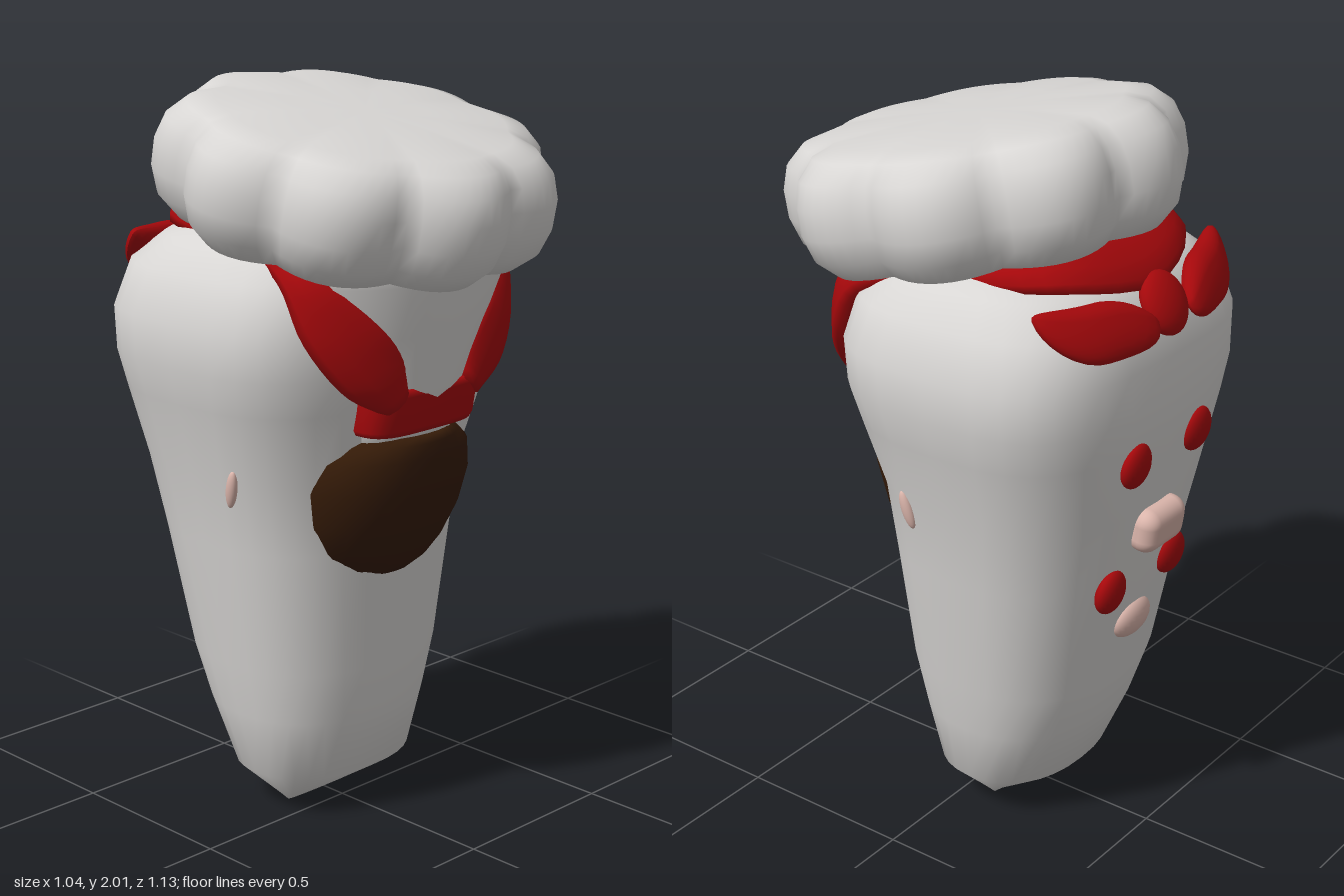
import * as THREE from 'three';
import { RoundedBoxGeometry } from 'three/addons/geometries/RoundedBoxGeometry.js';

const V = (x, y, z) => new THREE.Vector3(x, y, z);
const material = (name, color) => {
  const m = new THREE.MeshStandardMaterial({ color });
  m.name = name;
  return m;
};

// Smooth closed skin over a list of equal-sized rings, capped at both ends
function loft(rings) {
  const n = rings[0].length, pts = rings.flat(), idx = [];
  for (let i = 0; i < rings.length - 1; i++) {
    for (let j = 0; j < n; j++) {
      const a = i * n + j, b = i * n + (j + 1) % n;
      idx.push(a, b, a + n, b, b + n, a + n);
    }
  }
  [0, rings.length - 1].forEach((r, end) => {
    const c = pts.length;
    pts.push(rings[r].reduce((s, p) => s.add(p), V(0, 0, 0)).divideScalar(n));
    for (let j = 0; j < n; j++) {
      const a = r * n + j, b = r * n + (j + 1) % n;
      end ? idx.push(a, b, c) : idx.push(b, a, c);
    }
  });
  // A negative volume means the faces point inward
  let volume = 0;
  const cross = V(0, 0, 0);
  for (let i = 0; i < idx.length; i += 3) {
    volume += cross.crossVectors(pts[idx[i]], pts[idx[i + 1]]).dot(pts[idx[i + 2]]);
  }
  if (volume < 0) idx.reverse();
  const g = new THREE.BufferGeometry().setFromPoints(pts);
  g.setIndex(idx);
  g.computeVertexNormals();
  return g;
}

// Level rounded cross-sections: [y, half width, front z, back z, squareness]
function sections(rows, n = 32) {
  const soft = (v, power) => Math.sign(v) * Math.abs(v) ** (2 / power);
  return loft(rows.map(([y, hx, zf, zb, power]) => Array.from({ length: n }, (_, j) => {
    const a = (j / n) * Math.PI * 2;
    return V(hx * soft(Math.cos(a), power), y, (zf + zb) / 2 + ((zf - zb) / 2) * soft(Math.sin(a), power));
  })));
}

// Padded band between an inner and an outer edge curve
function band(inner, outer, thickness, steps = 64, n = 10) {
  const a = new THREE.CatmullRomCurve3(inner), b = new THREE.CatmullRomCurve3(outer);
  const mid = (t) => a.getPoint(t).lerp(b.getPoint(t), 0.5);
  const rings = [];
  for (let i = 0; i <= steps; i++) {
    const t = i / steps;
    const half = b.getPoint(t).sub(a.getPoint(t)).multiplyScalar(0.5);
    const along = mid(Math.min(1, t + 0.01)).sub(mid(Math.max(0, t - 0.01)));
    const up = along.cross(half).normalize();
    rings.push(Array.from({ length: n }, (_, j) => {
      const q = (j / n) * Math.PI * 2;
      return mid(t).addScaledVector(half, Math.cos(q)).addScaledVector(up, thickness * Math.sin(q));
    }));
  }
  return loft(rings);
}

// Puffy cushion with nine scalloped lobes around its rim
function scallopedCap() {
  const profile = [[0.2, -0.15, 0], [0.36, -0.165, 0.3], [0.43, -0.155, 0.7], [0.475, -0.105, 0.95],
    [0.495, -0.04, 1], [0.495, 0.03, 1], [0.478, 0.09, 0.9], [0.44, 0.135, 0.6], [0.38, 0.155, 0.25], [0.2, 0.165, 0]];
  const n = 90;
  return loft(profile.map(([r, y, w]) => Array.from({ length: n }, (_, j) => {
    const a = (j / n) * Math.PI * 2;
    const lobe = Math.abs(Math.sin(4.5 * a)) - 0.35;
    const rr = r + 0.056 * w * lobe;
    return V(rr * Math.cos(a), y * (1 + 0.08 * w * lobe), rr * Math.sin(a));
  })));
}

// Bow wing: flat upper edge, full lower edge, tip swept upward
function bowWing(side) {
  const g = new THREE.SphereGeometry(1, 24, 16);
  const p = g.attributes.position;
  for (let i = 0; i < p.count; i++) {
    const y = p.getY(i), out = p.getX(i) * side;
    p.setY(i, (y > 0 ? y * 0.45 : y) + 0.45 * out * Math.abs(out));
  }
  g.computeVertexNormals();
  return g;
}

export function createModel() {
  const model = new THREE.Group();
  const white = material('soft white', 0xd8d6d4);
  const red = material('scarf red', 0xa5080b);
  const brown = material('dark brown', 0x351b08);
  const pink = material('pale pink', 0xdcb6ac);

  const centre = 0.007;
  const add = (name, geometry, mat, pos = [0, 0, 0], rot = [0, 0, 0], scale = [1, 1, 1]) => {
    const m = new THREE.Mesh(geometry, mat);
    m.name = name;
    m.position.set(pos[0] + centre, pos[1], pos[2]);
    m.rotation.set(...rot, 'YXZ');
    m.scale.set(...scale);
    model.add(m);
  };
  const ball = new THREE.SphereGeometry(1, 24, 16);

  // Tapered body ending in a narrow wedge
  add('body', sections([
    [0, 0.14, -0.075, -0.09, 2.3], [0.12, 0.262, 0.11, -0.283, 2.3], [0.3, 0.303, 0.15, -0.36, 2.4],
    [0.45, 0.332, 0.175, -0.408, 2.5], [0.8, 0.388, 0.2, -0.468, 2.6], [1.0, 0.42, 0.215, -0.508, 2.7],
    [1.2, 0.473, 0.26, -0.538, 2.9], [1.3, 0.497, 0.275, -0.545, 3.1], [1.42, 0.503, 0.275, -0.54, 3.2],
    [1.54, 0.46, 0.25, -0.51, 3.1], [1.61, 0.385, 0.19, -0.44, 2.8], [1.66, 0.27, 0.08, -0.34, 2.5],
    [1.68, 0.12, -0.04, -0.22, 2.2],
  ]), white);

  // Face and neck rising into the cap
  add('face', sections([
    [1.06, 0.18, 0.28, 0, 2.2], [1.13, 0.19, 0.315, 0, 2.2], [1.25, 0.2, 0.35, 0, 2.2], [1.4, 0.26, 0.38, 0, 2.2],
    [1.54, 0.35, 0.41, -0.1, 2.2], [1.62, 0.36, 0.41, -0.15, 2.2], [1.72, 0.3, 0.38, -0.28, 2.2],
  ]), white);

  add('cap', scallopedCap(), white, [0, 1.775, 0.045], [0.2, 0, 0]);

  // Rounded brown patch on the chest
  add('chestPatch', sections([
    [0.715, 0.15, 0.2, -0.2, 2.2], [0.74, 0.22, 0.222, -0.2, 2.2], [0.79, 0.262, 0.252, -0.2, 2.2],
    [0.88, 0.287, 0.297, -0.2, 2.2], [0.98, 0.298, 0.327, -0.2, 2.2], [1.06, 0.283, 0.333, -0.2, 2.2],
    [1.1, 0.232, 0.33, -0.2, 2.2], [1.12, 0.18, 0.322, -0.2, 2.2],
  ]), brown);

  // Scarf: one half of its edges, mirrored across the back
  const inner = [[0.1, 1.26, 0.325], [0.125, 1.36, 0.335], [0.2, 1.45, 0.325], [0.3, 1.56, 0.25],
    [0.3, 1.62, 0.1], [0.27, 1.63, -0.1], [0.21, 1.71, -0.27]];
  const outer = [[0.17, 1.2, 0.31], [0.29, 1.27, 0.29], [0.382, 1.41, 0.235], [0.39, 1.54, 0.165],
    [0.35, 1.58, 0.04], [0.33, 1.6, -0.14], [0.28, 1.63, -0.38]];
  const mirrored = (half, back) => [
    ...half.map(([x, y, z]) => V(x, y, z)), V(...back), ...half.map(([x, y, z]) => V(-x, y, z)).reverse()];
  add('scarf', band(mirrored(inner, [0, 1.71, -0.32]), mirrored(outer, [0, 1.59, -0.48]), 0.035), red);
  add('scarfBand', sections([
    [1.135, 0.19, 0.325, 0.1, 4], [1.15, 0.2, 0.33, 0.1, 4], [1.24, 0.203, 0.345, 0.1, 4], [1.26, 0.2, 0.34, 0.1, 4],
  ]), red);

  // Bow at the back
  add('bowKnot', ball, red, [0, 1.55, -0.505], [0.5, 0, 0], [0.08, 0.085, 0.04]);
  for (const s of [-1, 1]) {
    const side = s > 0 ? 'left' : 'right';
    add(side + 'BowWing', bowWing(s), red, [s * 0.235, 1.565, -0.465], [0.58, -s * 0.28, 0], [0.178, 0.105, 0.04]);
    // Round red spots on the back
    add(side + 'UpperSpot', ball, red, [s * 0.14, 1.16, -0.528], [-0.1, 0, 0], [0.058, 0.062, 0.028]);
    add(side + 'LowerSpot', ball, red, [s * 0.14, 0.775, -0.46], [-0.12, 0, 0], [0.058, 0.062, 0.03]);
    // Small slits on the flanks
    add(side + 'SideMark', ball, pink, [s * 0.407, 0.985, -0.005], [0.25, 0, -s * 0.12], [0.014, 0.055, 0.017]);
  }

  // Pale tabs down the back
  add('upperTab', new RoundedBoxGeometry(0.18, 0.125, 0.09, 4, 0.042), pink, [0, 0.935, -0.505], [-0.15, 0, 0]);
  add('lowerTab', ball, pink, [0, 0.63, -0.431], [-0.15, 0, 0], [0.08, 0.056, 0.036]);

  return model;
}
